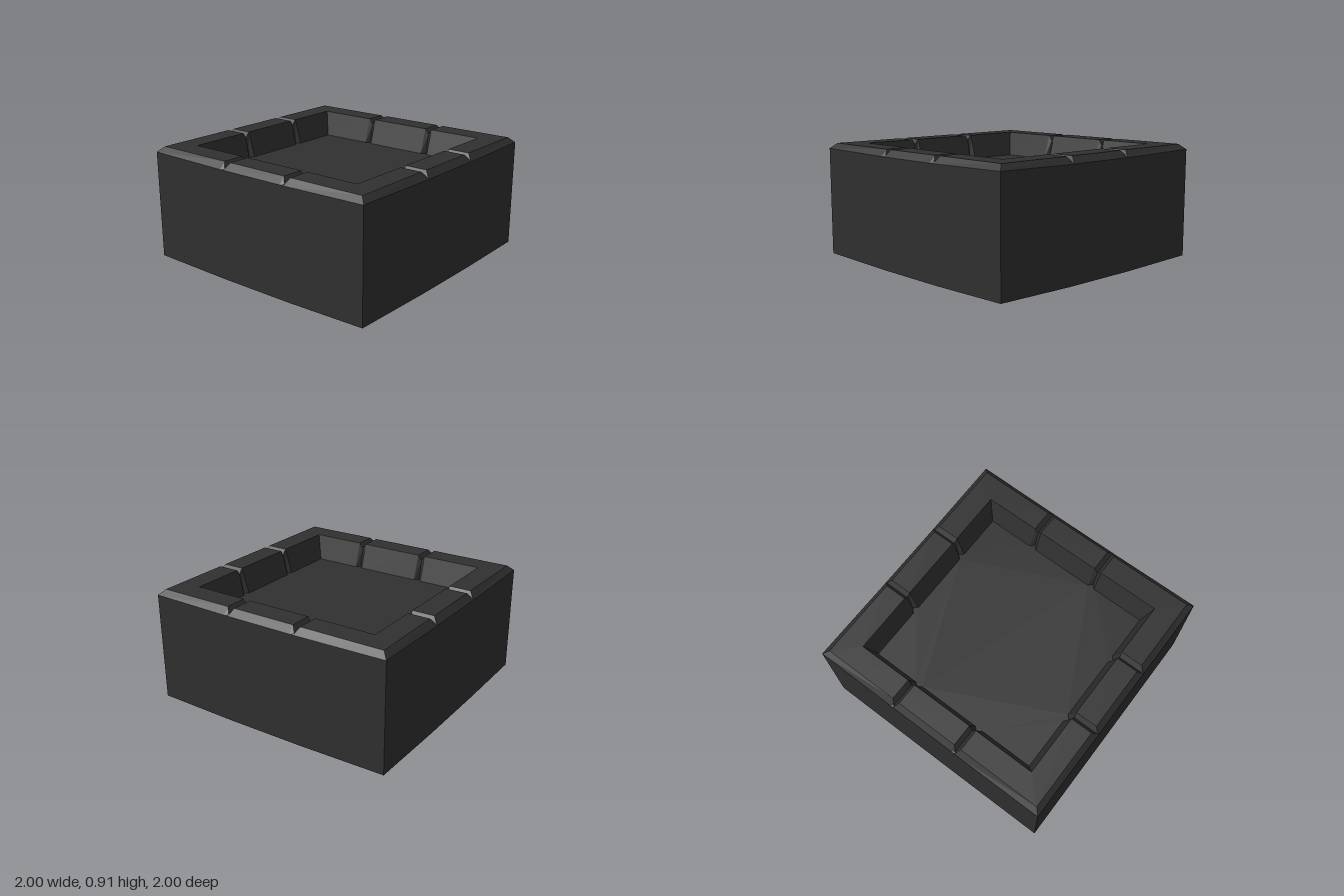
import * as THREE from 'three';

const NOTCH_X = [-0.265, 0.315]; // joints on front and back
const NOTCH_Z = [-0.315, 0.255]; // joints on the sides
const HALF = 0.03;

// Cross-sections as [distance from centre, height], from the ground over the rim to the floor
const SECTIONS = {
  corner: [[1, 0.012], [1, 0.868], [0.955, 0.91], [0.78, 0.91], [0.72, 0.71]],
  block: [[1, 0], [1, 0.858], [0.955, 0.91], [0.78, 0.91], [0.72, 0.71]],
  joint: [[1, 0], [1, 0.858], [0.985, 0.867], [0.785, 0.867], [0.752, 0.71]],
};

// Walk round the four sides, anticlockwise from above, collecting one section per station
function buildStations() {
  const sides = [
    { notches: NOTCH_X, dir: 1, place: (t, r, y) => new THREE.Vector3(t, y, r) },
    { notches: NOTCH_Z, dir: -1, place: (t, r, y) => new THREE.Vector3(r, y, t) },
    { notches: NOTCH_X, dir: -1, place: (t, r, y) => new THREE.Vector3(t, y, -r) },
    { notches: NOTCH_Z, dir: 1, place: (t, r, y) => new THREE.Vector3(-r, y, t) },
  ];
  const stations = [];
  for (const { notches, dir, place } of sides) {
    stations.push(SECTIONS.corner.map(([r, y]) => place(-dir * r, r, y)));
    const ordered = dir > 0 ? notches : [...notches].reverse();
    for (const n of ordered) {
      for (const s of [-1, 0, 1]) {
        const section = s === 0 ? SECTIONS.joint : SECTIONS.block;
        stations.push(section.map(([r, y]) => place(n + dir * s * HALF, r, y)));
      }
    }
  }
  return stations;
}

// Flat-faced strip between section points k0 and k1, closed round the ring
function band(stations, k0, k1) {
  const pos = [];
  stations.forEach((a, i) => {
    const b = stations[(i + 1) % stations.length];
    for (let k = k0; k < k1; k++) {
      for (const p of [a[k], b[k], b[k + 1], a[k], b[k + 1], a[k + 1]]) pos.push(p.x, p.y, p.z);
    }
  });
  const g = new THREE.BufferGeometry();
  g.setAttribute('position', new THREE.Float32BufferAttribute(pos, 3));
  g.computeVertexNormals();
  return g;
}

export function createModel() {
  const group = new THREE.Group();
  group.name = 'stonePlanter';
  const stone = new THREE.MeshStandardMaterial({ color: 0x303030, side: THREE.DoubleSide });
  stone.name = 'charcoalStone';
  const add = (name, geometry) => {
    const mesh = new THREE.Mesh(geometry, stone);
    mesh.name = name;
    group.add(mesh);
    return mesh;
  };

  const stations = buildStations();
  add('outerWall', band(stations, 0, 1));
  add('rimBlocks', band(stations, 1, 3));
  add('innerWall', band(stations, 3, 4));

  // Recessed floor, reaching into the joints
  const outline = stations.map((s) => new THREE.Vector2(s[4].x, -s[4].z));
  const floor = add('floor', new THREE.ShapeGeometry(new THREE.Shape(outline)));
  floor.rotation.x = -Math.PI / 2;
  floor.position.y = 0.71;

  return group;
}
